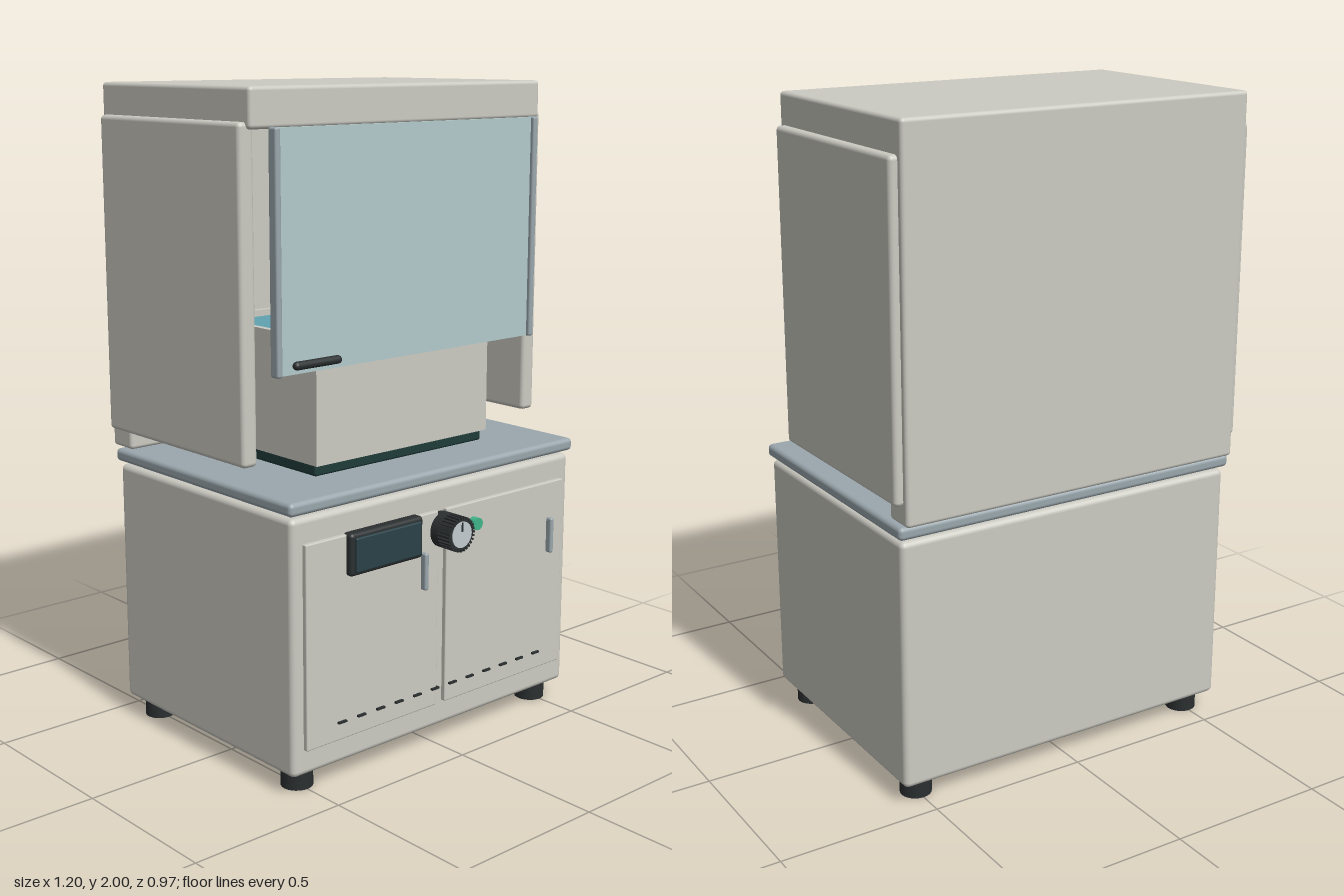
import * as THREE from 'three';
import { RoundedBoxGeometry } from 'three/addons/geometries/RoundedBoxGeometry.js';

const paint = (color) => new THREE.MeshStandardMaterial({ color });

export function createModel() {
  const model = new THREE.Group();
  const body = paint(0xcbcac2), steel = paint(0x9aa7ad), glass = paint(0xb4cacb);
  const dark = paint(0x2b2f30), darkGreen = paint(0x1f3c3a), screenMat = paint(0x2a4147);
  const green = paint(0x3fb58a), liquid = paint(0x5fa3b0), dial = paint(0xc3ccd0);

  const add = (name, geometry, material, x = 0, y = 0, z = 0) => {
    const mesh = new THREE.Mesh(geometry, material);
    mesh.name = name;
    mesh.position.set(x, y, z);
    model.add(mesh);
    return mesh;
  };
  // Box given by its limits on each axis, with rounded edges when r > 0
  const box = (name, mat, [x0, x1], [y0, y1], [z0, z1], r = 0) => {
    const s = [x1 - x0, y1 - y0, z1 - z0];
    const g = r ? new RoundedBoxGeometry(...s, 3, r) : new THREE.BoxGeometry(...s);
    return add(name, g, mat, (x0 + x1) / 2, (y0 + y1) / 2, (z0 + z1) / 2);
  };
  // Cylinder whose axis runs along z, from z0 to z1
  const disc = (name, mat, r, x, y, z0, z1) => {
    const g = new THREE.CylinderGeometry(r, r, z1 - z0, 32).rotateX(Math.PI / 2);
    return add(name, g, mat, x, y, (z0 + z1) / 2);
  };

  // Base cabinet, feet and worktop
  box('cabinet', body, [-0.575, 0.575], [0.06, 0.83], [-0.45, 0.39], 0.018);
  box('worktop', steel, [-0.585, 0.585], [0.84, 0.88], [-0.46, 0.4], 0.014);
  box('worktopSupport', dark, [-0.54, 0.54], [0.825, 0.845], [-0.42, 0.36]);
  for (const x of [-0.5, 0.5]) for (const z of [-0.375, 0.315]) {
    add('foot', new THREE.CylinderGeometry(0.048, 0.048, 0.055, 24), dark, x, 0.0275, z);
    add('footCollar', new THREE.CylinderGeometry(0.042, 0.042, 0.03, 24), dark, x, 0.06, z);
  }

  // Doors with bar handles
  for (const [x0, x1, hx] of [[-0.535, -0.02, -0.083], [0.015, 0.535, 0.47]]) {
    box('door', body, [x0, x1], [0.14, 0.755], [0.38, 0.405], 0.004);
    box('doorHandle', steel, [hx - 0.008, hx + 0.008], [0.525, 0.64], [0.4, 0.425], 0.006);
  }
  // Row of vent slots along the bottom of the doors
  for (let i = 0; i < 12; i++) {
    const x = -0.405 + i * 0.075;
    box('ventSlot', dark, [x - 0.015, x + 0.015], [0.193, 0.199], [0.4, 0.413]);
  }

  // Control panel: display, ribbed knob and button
  box('displayHousing', dark, [-0.385, -0.1], [0.632, 0.76], [0.385, 0.425], 0.012);
  box('displayScreen', screenMat, [-0.37, -0.115], [0.645, 0.747], [0.42, 0.433], 0.004);
  disc('knobBase', dark, 0.054, 0, 0.695, 0.385, 0.435);
  disc('knobBody', dark, 0.048, 0, 0.695, 0.43, 0.482);
  disc('knobCap', dial, 0.04, 0, 0.695, 0.475, 0.485);
  box('knobPointer', dark, [-0.003, 0.003], [0.705, 0.733], [0.483, 0.487]);
  for (let i = 0; i < 28; i++) {
    const a = (i / 28) * Math.PI * 2;
    const rib = box('knobRib', dark, [-0.003, 0.003], [-0.004, 0.004], [0.43, 0.484]);
    rib.position.x = Math.sin(a) * 0.05;
    rib.position.y = 0.695 + Math.cos(a) * 0.05;
    rib.rotation.z = -a;
  }
  disc('buttonStem', steel, 0.012, 0.115, 0.695, 0.38, 0.42);
  disc('button', green, 0.019, 0.115, 0.695, 0.416, 0.44);

  // Hood: canopy, back wall and side panels
  box('canopy', body, [-0.575, 0.575], [1.885, 2], [-0.485, 0.23], 0.012);
  box('backWall', body, [-0.575, 0.575], [0.885, 1.99], [-0.485, -0.385], 0.012);
  for (const s of [-1, 1]) {
    const edge = [s * 0.547, s * 0.6].sort((a, b) => a - b);
    box('sidePanel', body, edge, [0.945, 1.905], [-0.465, 0.213], 0.014);
  }

  // Sliding glass front with edge rails and a grip
  box('glassFront', glass, [-0.515, 0.515], [1.205, 1.89], [0.247, 0.262]);
  for (const x of [-0.513, 0.513])
    box('glassRail', steel, [x - 0.01, x + 0.01], [1.203, 1.892], [0.24, 0.275], 0.007);
  add('glassGrip', new THREE.CapsuleGeometry(0.0125, 0.15, 6, 16).rotateZ(Math.PI / 2),
    dark, -0.39, 1.235, 0.288);
  for (const x of [-0.44, -0.34]) disc('gripStud', dark, 0.006, x, 1.235, 0.258, 0.288);

  // Open processing tank filled with liquid, on a dark plinth
  box('tankPlinth', darkGreen, [-0.345, 0.345], [0.88, 0.92], [-0.285, 0.222], 0.008);
  box('tankFloor', body, [-0.352, 0.352], [0.915, 0.94], [-0.3, 0.237]);
  for (const s of [-1, 1]) {
    const side = [s * 0.332, s * 0.352].sort((a, b) => a - b);
    box('tankSide', body, side, [0.915, 1.29], [-0.3, 0.237]);
  }
  box('tankFront', body, [-0.335, 0.335], [0.915, 1.29], [0.217, 0.237]);
  box('tankBack', body, [-0.335, 0.335], [0.915, 1.29], [-0.3, -0.28]);
  box('tankLiquid', liquid, [-0.333, 0.333], [0.93, 1.27], [-0.282, 0.219]);

  // Upright steel bar on the back wall
  box('backBar', steel, [0.423, 0.448], [1.03, 1.5], [-0.39, -0.36], 0.006);

  return model;
}
